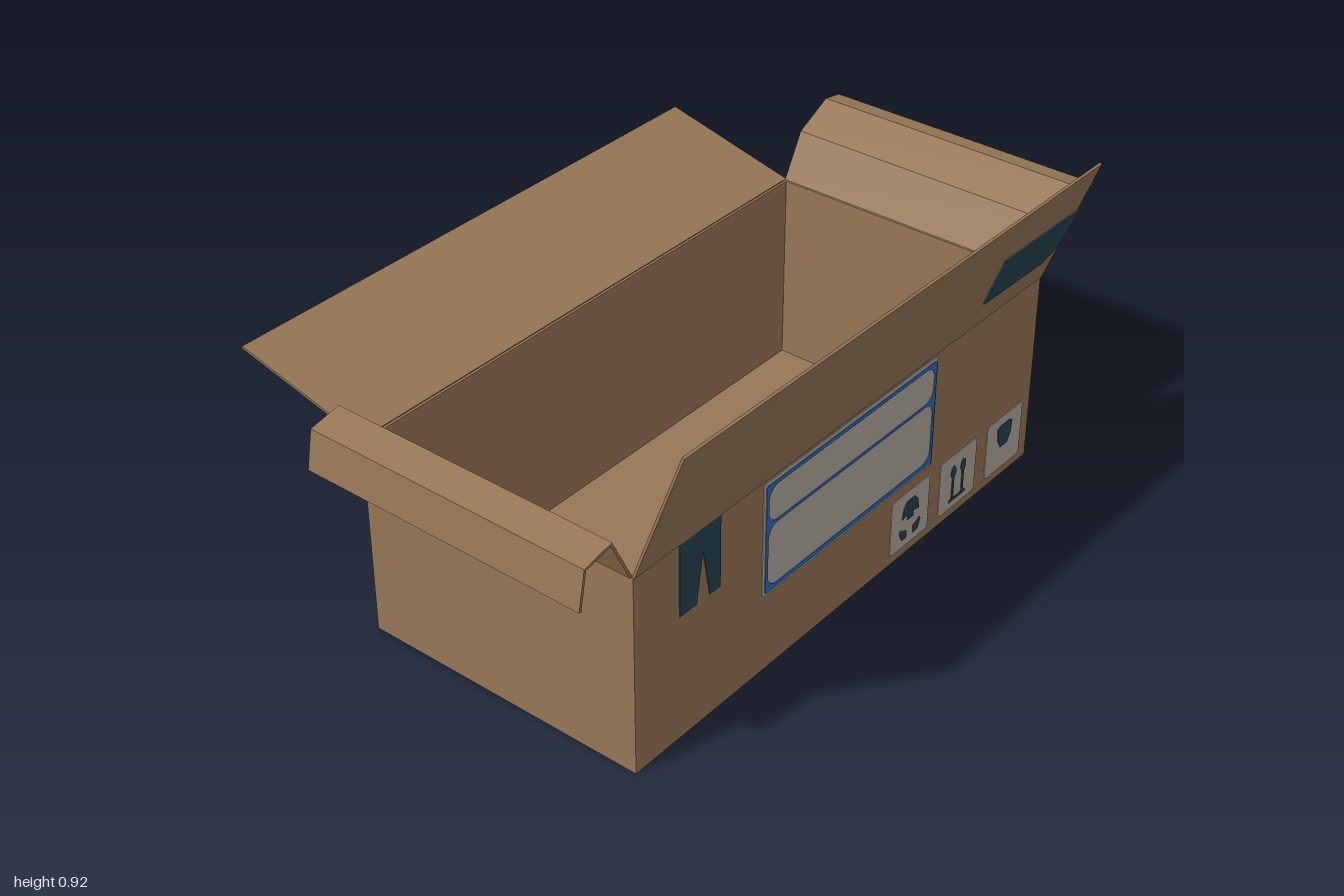
import * as THREE from 'three';

const mat = (name, color) => {
  const m = new THREE.MeshStandardMaterial({ color });
  m.name = name;
  return m;
};

export function createModel() {
  const root = new THREE.Group();
  const card = mat('cardboard', 0x967656);
  const paper = mat('labelPaper', 0xb4aaa2);
  const blue = mat('labelBlue', 0x3468b4);
  const ink = mat('darkTape', 0x284350);

  // Box extents and board thickness
  const L = -0.835, R = 0.765, B = -0.28, F = 0.53, H = 0.55, T = 0.007;
  const add = (name, geo, material, parent = root) => {
    const m = new THREE.Mesh(geo, material);
    m.name = name;
    parent.add(m);
    return m;
  };
  const slab = (name, x0, x1, y0, y1, z0, z1) => add(name,
    new THREE.BoxGeometry(x1 - x0, y1 - y0, z1 - z0)
      .translate((x0 + x1) / 2, (y0 + y1) / 2, (z0 + z1) / 2), card);

  // Floor and four walls
  slab('floor', L, R, 0, T, B, F);
  slab('frontWall', L, R, T, H, F - T, F);
  slab('backWall', L, R, T, H, B, B + T);
  slab('leftWall', R - T, R, T, H, B + T, F - T);
  slab('rightWall', L, L + T, T, H, B + T, F - T);

  // Folded board: thickens a polyline with mitred folds and extrudes it
  const strip = (pts, depth) => {
    const p = pts.map(([x, y]) => new THREE.Vector2(x, y));
    const normal = (a, b) => new THREE.Vector2(a.y - b.y, b.x - a.x).normalize();
    const offset = p.map((q, i) => {
      const n0 = normal(p[Math.max(i - 1, 0)], p[Math.max(i, 1)]);
      const last = p.length - 1;
      const n1 = normal(p[Math.min(i, last - 1)], p[Math.min(i + 1, last)]);
      const n = n0.clone().add(n1).normalize();
      return n.multiplyScalar(T / 2 / n.dot(n0));
    });
    const outline = [
      ...p.map((q, i) => q.clone().add(offset[i])),
      ...p.map((q, i) => q.clone().sub(offset[i])).reverse(),
    ];
    return new THREE.ExtrudeGeometry(new THREE.Shape(outline), { depth, bevelEnabled: false });
  };

  // Creased side flaps
  const sideDepth = F - B - 0.005;
  add('leftFlap', strip([[R, H], [0.83, 0.67], [0.94, 0.724], [0.999, 0.714]], sideDepth)
    .translate(0, 0, B), card);
  add('rightFlap', strip([[L, H], [-0.895, 0.672], [-0.978, 0.655], [-0.997, 0.556]], sideDepth)
    .translate(0, 0, B), card);

  // Long flaps, profile drawn in (-z, y) and swept along x
  const longFlap = (name, pts) => add(name,
    strip(pts.map(([z, y]) => [-z, y]), R - L).rotateY(Math.PI / 2).translate(L, 0, 0), card);
  const tipZ = 0.667, tipY = 0.919;
  longFlap('frontFlap', [[F, H], [tipZ, tipY]]);
  longFlap('backFlap', [[B, H], [-0.669, 0.644]]);

  // Thin plates
  const poly = (pts) => new THREE.Shape(pts.map(([x, y]) => new THREE.Vector2(x, y)));
  const rounded = (x0, y0, x1, y1, r, S = THREE.Shape) => {
    const s = new S();
    s.absarc(x1 - r, y1 - r, r, 0, Math.PI / 2);
    s.absarc(x0 + r, y1 - r, r, Math.PI / 2, Math.PI);
    s.absarc(x0 + r, y0 + r, r, Math.PI, Math.PI * 1.5);
    s.absarc(x1 - r, y0 + r, r, Math.PI * 1.5, Math.PI * 2);
    s.closePath();
    return s;
  };
  const plate = (shapes, thick = 0.002) => new THREE.ExtrudeGeometry(shapes,
    { depth: thick, bevelEnabled: false, curveSegments: 6 });

  // Shipping label with blue double frame
  add('label', plate(rounded(-0.385, 0.218, 0.304, 0.54, 0.012)).translate(0, 0, F), paper);
  const frame = rounded(-0.376, 0.226, 0.299, 0.53, 0.006);
  frame.holes.push(
    rounded(-0.367, 0.42, 0.291, 0.52, 0.035, THREE.Path),
    rounded(-0.367, 0.238, 0.291, 0.413, 0.035, THREE.Path));
  add('labelFrame', plate(frame).translate(0, 0, F + 0.002), blue);

  // Torn tape on the front wall, front flap and left wall
  add('frontTape', plate(poly([[-0.682, H], [-0.682, 0.35], [-0.623, 0.35], [-0.601, 0.485],
    [-0.577, 0.35], [-0.539, 0.35], [-0.539, H]])).translate(0, 0, F), ink);

  const tilt = Math.atan2(tipZ - F, tipY - H), c = Math.cos(tilt);
  const flapTape = add('flapTape', plate(poly([[0.433, 0.78], [0.433, 0.64], [0.7, 0.632],
    [0.735, 0.65], [0.765, 0.685], [0.765, 0.775]].map(([x, y]) => [x, (y - H) / c])), 0.004)
    .translate(0, 0, T / 2), ink);
  flapTape.position.set(0, H, F);
  flapTape.rotation.x = tilt;

  add('sideTape', plate(poly([[-0.43, 0.485], [-0.43, 0.35], [-0.37, 0.35], [-0.342, 0.415],
    [-0.32, 0.365], [-0.285, 0.385], [-0.285, 0.545], [-0.37, 0.545]]))
    .rotateY(Math.PI / 2).translate(R, 0, 0), ink);

  // Handling symbols, drawn around the centre of each square
  const disc = (x, y, r) => {
    const s = new THREE.Shape();
    s.absarc(x, y, r, 0, Math.PI * 2);
    return s;
  };
  const mirrored = (pts) => [poly(pts), poly(pts.map(([x, y]) => [-x, y]))];
  const symbols = {
    careSymbol: [
      poly([[-0.036, 0.008], [-0.012, 0.012], [-0.012, -0.004], [0.012, -0.004], [0.012, 0.012],
        [0.036, 0.008], [0.03, 0.04], [0.018, 0.054], [-0.018, 0.054], [-0.03, 0.04]]),
      ...mirrored([[0.015, -0.058], [0.034, -0.056], [0.046, -0.03], [0.04, -0.022],
        [0.028, -0.03], [0.014, -0.036]]),
    ],
    uprightSymbol: [
      ...[-0.022, 0.022].flatMap((x) => [
        poly([[x - 0.004, -0.052], [x + 0.004, -0.052], [x + 0.004, 0.01], [x + 0.012, 0.026],
          [x + 0.008, 0.044], [x, 0.05], [x - 0.008, 0.044], [x - 0.012, 0.026], [x - 0.004, 0.01]]),
      ]),
      poly([[-0.036, -0.06], [0.036, -0.06], [0.036, -0.052], [-0.036, -0.052]]),
    ],
    fragileSymbol: [
      poly([[-0.034, 0.05], [-0.03, 0.014], [-0.016, -0.012], [0.016, -0.012], [0.03, 0.014],
        [0.034, 0.05], [0.02, 0.056], [-0.02, 0.056]]),
    ],
  };
  Object.entries(symbols).forEach(([name, shapes], i) => {
    const g = new THREE.Group();
    g.name = name;
    g.position.set([0.221, 0.433, 0.647][i], 0.107, F);
    add('symbolSquare', plate(rounded(-0.082, -0.082, 0.082, 0.082, 0.012)), paper, g);
    add('symbolMark', plate(shapes).translate(0, 0, 0.002), ink, g);
    root.add(g);
  });

  return root;
}
